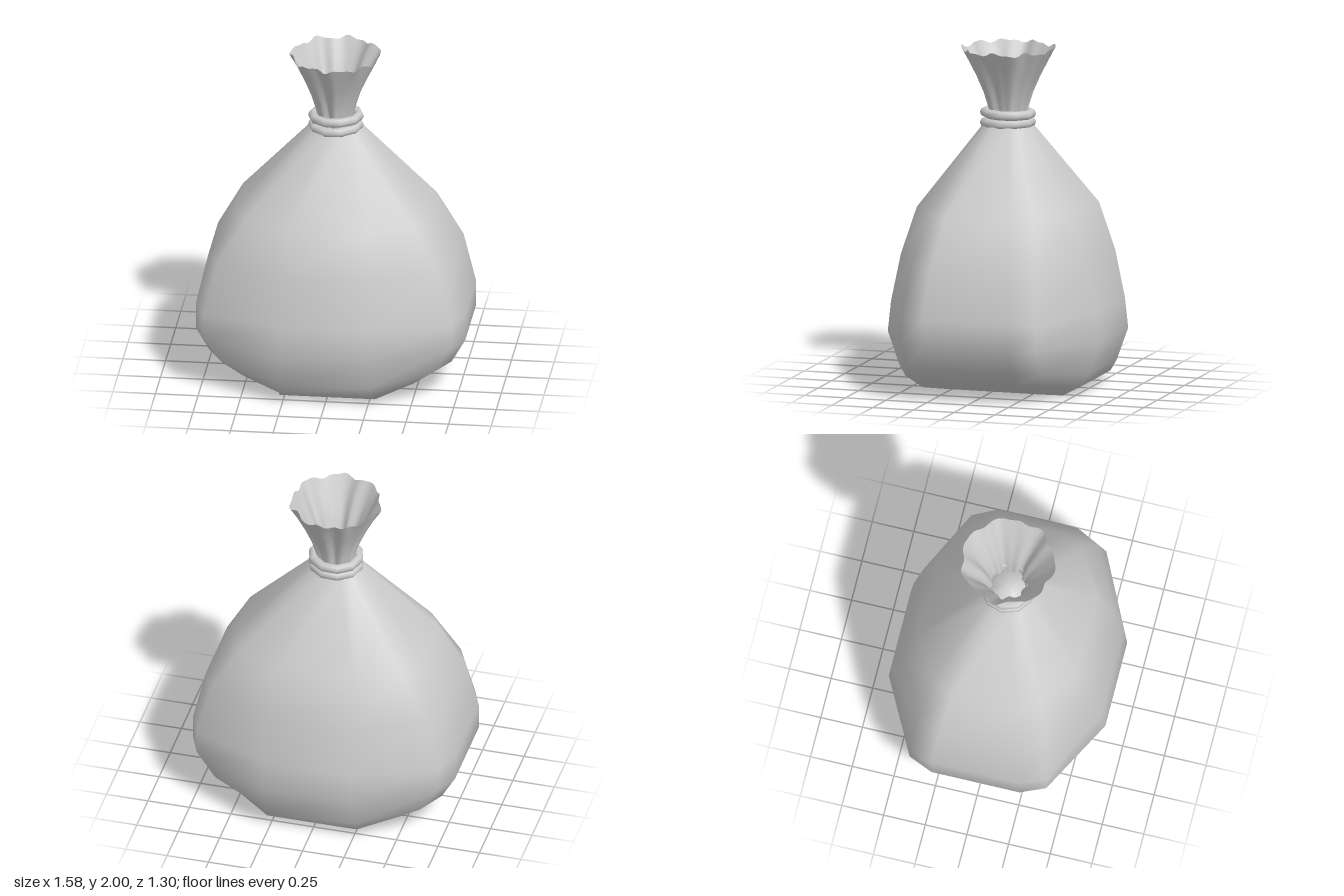
import * as THREE from 'three';
import { mergeVertices } from 'three/addons/utils/BufferGeometryUtils.js';

const material = new THREE.MeshStandardMaterial({ color: 0xcccccc, side: THREE.DoubleSide });

// Each ring is given by one quarter: front point, corner point, side point (x, y, z).
const RINGS = [
  [[0.28, 0, 0.43], [0.29, 0, 0.3], [0.29, 0, 0.16]],
  [[0.27, 0.06, 0.54], [0.5, 0.09, 0.38], [0.58, 0.1, 0.25]],
  [[0.27, 0.13, 0.58], [0.62, 0.18, 0.41], [0.71, 0.19, 0.26]],
  [[0.265, 0.32, 0.65], [0.73, 0.34, 0.41], [0.79, 0.33, 0.265]],
  [[0.265, 0.5, 0.63], [0.73, 0.48, 0.41], [0.79, 0.49, 0.265]],
  [[0.265, 0.78, 0.57], [0.65, 0.79, 0.38], [0.72, 0.79, 0.24]],
  [[0.24, 1.06, 0.48], [0.49, 1.06, 0.32], [0.57, 1.06, 0.2]],
  [[0.06, 1.53, 0.14], [0.12, 1.53, 0.1], [0.155, 1.53, 0.05]],
  [[0.025, 1.59, 0.06], [0.045, 1.59, 0.045], [0.06, 1.59, 0.025]],
];

// Mirror a quarter into a full ring running from the front towards +x.
function fullRing([f, c, s]) {
  const right = [f, c, s, ...[s, c, f].map(([x, y, z]) => [x, y, -z])];
  return [...right, ...right.map(([x, y, z]) => [-x, y, z]).reverse()];
}

function bodyGeometry() {
  const positions = [], index = [];
  const rings = RINGS.map(fullRing);
  const n = rings[0].length;
  rings.forEach((ring) => ring.forEach((p) => positions.push(...p)));
  for (let i = 0; i < rings.length - 1; i++) {
    for (let j = 0; j < n; j++) {
      const a = i * n + j, b = i * n + (j + 1) % n;
      index.push(a, b, b + n, a, b + n, a + n);
    }
  }
  // flat base and closed neck
  const base = positions.length / 3, top = base + 1, last = (rings.length - 1) * n;
  positions.push(0, 0, 0, 0, 1.59, 0);
  for (let j = 0; j < n; j++) {
    const k = (j + 1) % n;
    index.push(base, k, j, top, last + j, last + k);
  }
  const geo = new THREE.BufferGeometry();
  geo.setAttribute('position', new THREE.Float32BufferAttribute(positions, 3));
  geo.setIndex(index);
  geo.computeVertexNormals();
  return geo;
}

// Flared, pleated cloth above the tie
function frillGeometry() {
  const profile = [[0.095, 1.55], [0.105, 1.63], [0.132, 1.72], [0.17, 1.81], [0.215, 1.9], [0.26, 1.985]]
    .map(([r, y]) => new THREE.Vector2(r, y));
  let geo = new THREE.LatheGeometry(profile, 72);
  const pos = geo.attributes.position;
  for (let i = 0; i < pos.count; i++) {
    const x = pos.getX(i), y = pos.getY(i), z = pos.getZ(i);
    const a = Math.atan2(x, z), t = (y - 1.55) / 0.435;
    const pleat = 0.65 * Math.sin(7 * a + 0.6) + 0.35 * Math.sin(12 * a + 2);
    const s = 1 + pleat * (0.14 - 0.08 * t);
    const hem = t > 0.95 ? 0.009 * Math.sin(9 * a) + 0.006 * Math.sin(17 * a + 1) : 0;
    pos.setXYZ(i, x * s, y + hem, z * s * 1.04);
  }
  geo.deleteAttribute('normal');
  geo.deleteAttribute('uv');
  geo = mergeVertices(geo, 1e-4);
  geo.computeVertexNormals();
  return geo;
}

export function createModel() {
  const sack = new THREE.Group();
  sack.name = 'sack';
  const add = (name, geo) => {
    const mesh = new THREE.Mesh(geo, material);
    mesh.name = name;
    sack.add(mesh);
    return mesh;
  };
  add('body', bodyGeometry());
  add('frill', frillGeometry());

  // Two coarse loops of cord around the neck
  [[1.548, 0.02, 0.03], [1.603, -0.03, 0.02]].forEach(([y, tiltX, tiltZ], i) => {
    const geo = new THREE.TorusGeometry(0.136, 0.028, 8, 10).rotateX(Math.PI / 2);
    const cord = add('cordLoop' + (i + 1), geo);
    cord.position.y = y;
    cord.rotation.set(tiltX, 0, tiltZ);
  });
  return sack;
}
